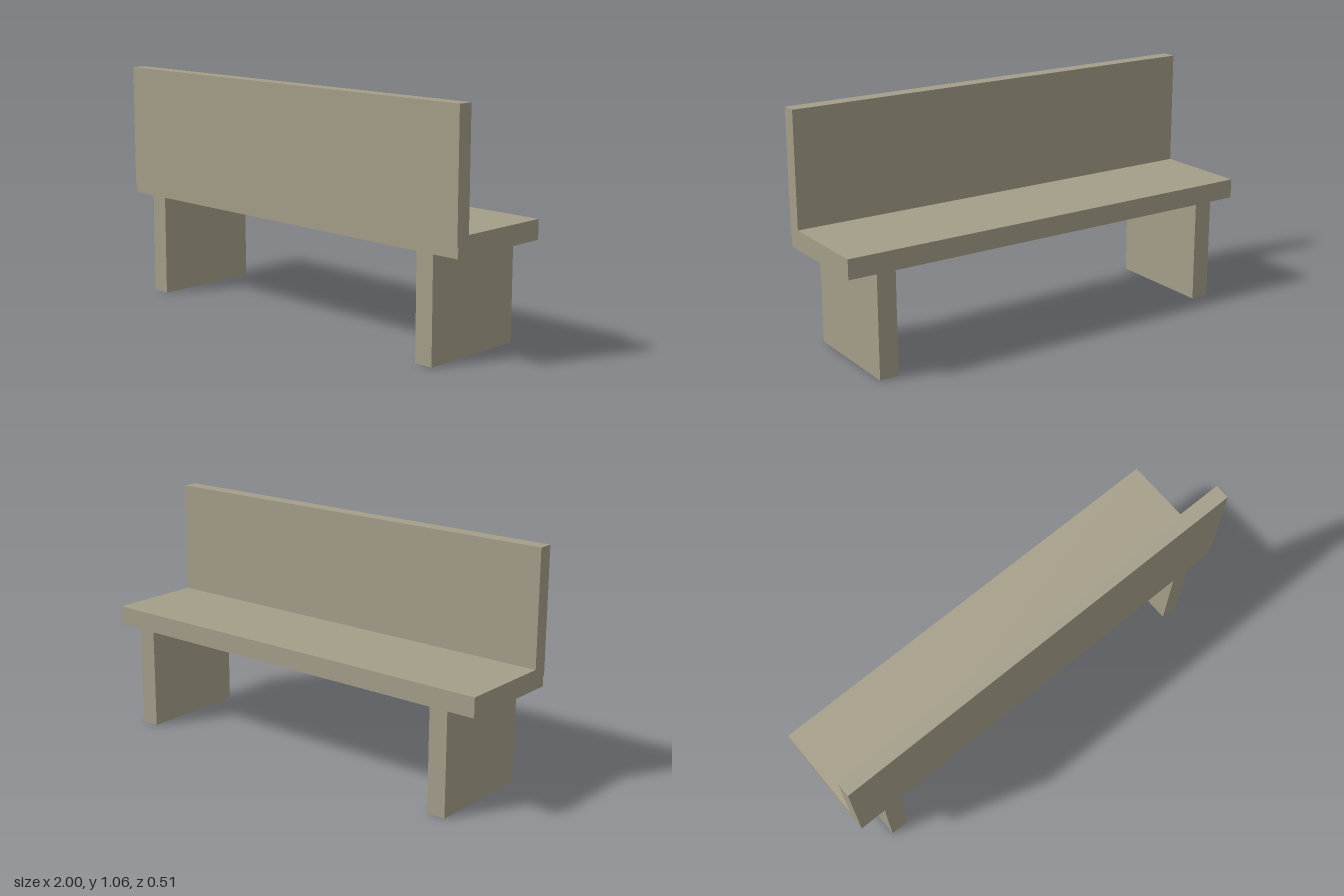
import * as THREE from 'three';

export function createModel() {
  const bench = new THREE.Group();
  bench.name = 'bench';
  const stone = new THREE.MeshStandardMaterial({ color: 0xa49e89 });
  stone.name = 'stone';

  // Box given by its lower and upper corners
  const slab = (name, [x0, y0, z0], [x1, y1, z1]) => {
    const mesh = new THREE.Mesh(new THREE.BoxGeometry(x1 - x0, y1 - y0, z1 - z0), stone);
    mesh.position.set((x0 + x1) / 2, (y0 + y1) / 2, (z0 + z1) / 2);
    mesh.name = name;
    bench.add(mesh);
    return mesh;
  };

  slab('seat', [-1, 0.458, -0.254], [1, 0.545, 0.248]);

  // Backrest overlaps the seat edge and stands slightly proud of it
  slab('backrest', [-1, 0.502, 0.186], [1, 1.057, 0.254]);

  // Solid slab legs, mirrored
  for (const [name, side] of [['leftLeg', 1], ['rightLeg', -1]]) {
    slab(name, [-0.043, 0, -0.254], [0.043, 0.458, 0.248]).position.x = side * 0.831;
  }

  return bench;
}
